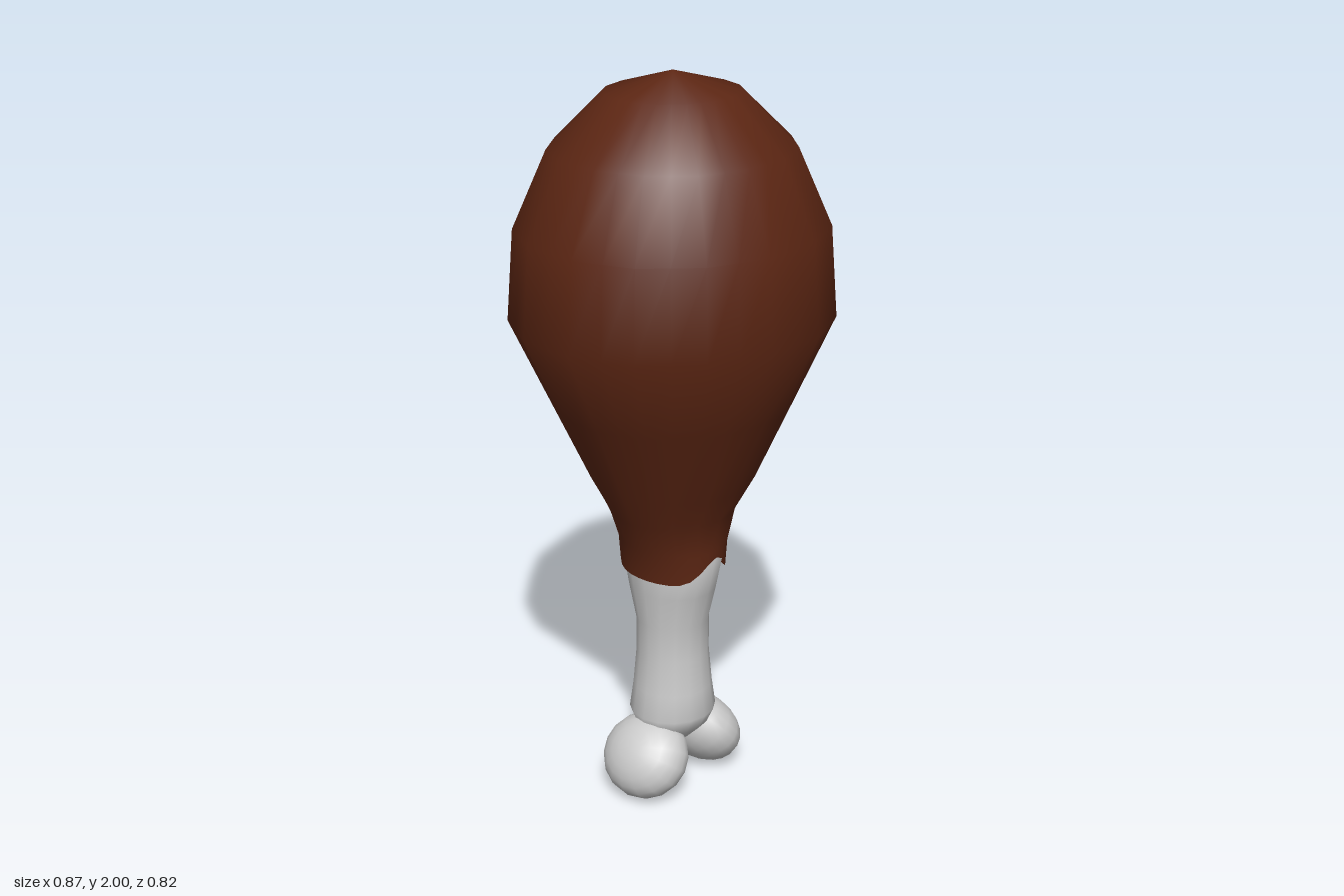
import * as THREE from 'three';

// Skins a stack of elliptical rings [y, rx, rz], listed bottom to top, with smooth normals.
// adjust(point, k, ringIndex) may reshape single ring points.
function loft(rings, sides, adjust = () => {}) {
  const pos = [], index = [];
  const p = new THREE.Vector3();
  rings.forEach(([y, rx, rz], i) => {
    for (let k = 0; k < sides; k++) {
      const a = (k / sides) * Math.PI * 2;
      p.set(rx * Math.sin(a), y, -rz * Math.cos(a));
      adjust(p, k, i);
      pos.push(p.x, p.y, p.z);
      if (i < rings.length - 1) {
        const k2 = (k + 1) % sides;
        const a0 = i * sides + k, b0 = i * sides + k2;
        index.push(a0, a0 + sides, b0, b0, a0 + sides, b0 + sides);
      }
    }
  });
  const g = new THREE.BufferGeometry();
  g.setAttribute('position', new THREE.Float32BufferAttribute(pos, 3));
  g.setIndex(index);
  g.computeVertexNormals();
  return g;
}

export function createModel() {
  const group = new THREE.Group();
  const meatMat = new THREE.MeshStandardMaterial({ color: 0x5c2613, side: THREE.DoubleSide });
  const boneMat = new THREE.MeshStandardMaterial({ color: 0xcccccc });

  const add = (name, geometry, material) => {
    const mesh = new THREE.Mesh(geometry, material);
    mesh.name = name;
    group.add(mesh);
    return mesh;
  };

  // Meat: fifteen-sided bulb; the lower rim rises at front and back
  const meatRings = [
    [0.65, 0.122, 0.155], [0.74, 0.133, 0.157], [0.83, 0.175, 0.165], [0.92, 0.218, 0.22],
    [1.14, 0.325, 0.315], [1.37, 0.437, 0.414], [1.61, 0.419, 0.396], [1.81, 0.327, 0.31],
    [1.95, 0.181, 0.171], [2.0, 0.001, 0.001],
  ];
  add('meat', loft(meatRings, 30, (p, k, i) => {
    if (i === 0) p.y += 0.07 * Math.cos((k / 30) * Math.PI * 2) ** 8;
    // odd points sit on the flats of the fifteen-sided rings
    if (i > 2 && k % 2) {
      p.x *= Math.cos(Math.PI / 15);
      p.z *= Math.cos(Math.PI / 15);
    }
  }), meatMat);

  // Bone shaft: narrow in the middle, flared to both ends
  const shaftRings = [
    [0.125, 0.001, 0.001], [0.135, 0.06, 0.05], [0.18, 0.11, 0.095], [0.225, 0.122, 0.117],
    [0.3, 0.11, 0.108], [0.4, 0.1, 0.1], [0.5, 0.1, 0.1], [0.6, 0.113, 0.125],
    [0.72, 0.122, 0.152], [0.85, 0.1, 0.1],
  ];
  add('boneShaft', loft(shaftRings, 16), boneMat);

  // Bone knobs: a mirrored pair of tilted egg shapes
  for (const s of [1, -1]) {
    const knob = add(s > 0 ? 'boneKnobLeft' : 'boneKnobRight', new THREE.SphereGeometry(1, 16, 12), boneMat);
    knob.scale.set(0.121, 0.09, 0.13);
    knob.position.set(s * 0.113, 0.108, 0);
    knob.rotation.z = -s * 0.9;
  }
  return group;
}
